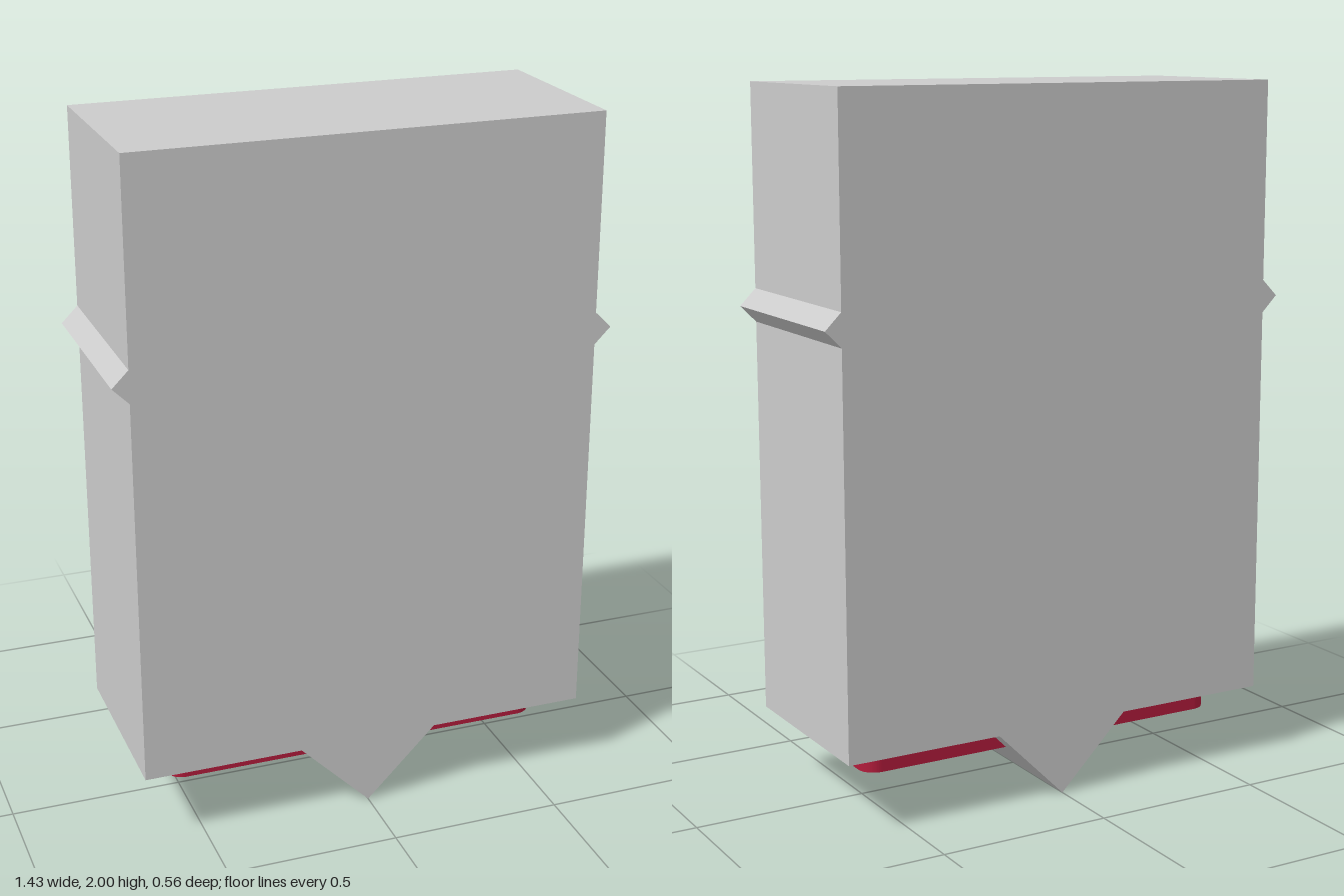
import * as THREE from 'three';

const HALF_WIDTH = 0.67, DEPTH = 0.56, BASE_Y = 0.21;

function extrude(shape, depth, curveSegments = 8) {
  return new THREE.ExtrudeGeometry(shape, { depth, bevelEnabled: false, curveSegments });
}

// Half of the block outline, from the wedge tip up the +x side; mirrored for the other side
function bodyShape() {
  const half = [
    [0.206, BASE_Y], [HALF_WIDTH, BASE_Y],
    [HALF_WIDTH, 1.338], [0.717, 1.385], [HALF_WIDTH, 1.432],
    [HALF_WIDTH, 2],
  ];
  const mirrored = half.map(([x, y]) => [-x, y]).reverse();
  return new THREE.Shape([[0, 0.004], ...half, ...mirrored].map(([x, y]) => new THREE.Vector2(x, y)));
}

// Rectangle with rounded corners, centred on the origin
function roundedRect(w, h, r) {
  const x = w / 2 - r, y = h / 2 - r;
  const s = new THREE.Shape();
  s.absarc(x, y, r, 0, Math.PI / 2);
  s.absarc(-x, y, r, Math.PI / 2, Math.PI);
  s.absarc(-x, -y, r, Math.PI, Math.PI * 1.5);
  s.absarc(x, -y, r, Math.PI * 1.5, Math.PI * 2);
  s.closePath();
  return s;
}

export function createModel() {
  const model = new THREE.Group();
  model.name = 'block';

  // Block with side ridges and a pointed wedge underneath
  const body = new THREE.Mesh(
    extrude(bodyShape(), DEPTH).translate(0, -0.004, -DEPTH / 2),
    new THREE.MeshStandardMaterial({ color: 0xcccccc }));
  body.scale.y = 2 / 1.996;
  body.name = 'body';

  // Red pad below the base, passing through the wedge
  const pad = new THREE.Mesh(
    extrude(roundedRect(1.146, 0.364, 0.05), 0.09).rotateX(-Math.PI / 2),
    new THREE.MeshStandardMaterial({ color: 0xb21b3b }));
  pad.position.y = 0.13;
  pad.name = 'basePad';

  model.add(body, pad);
  return model;
}
